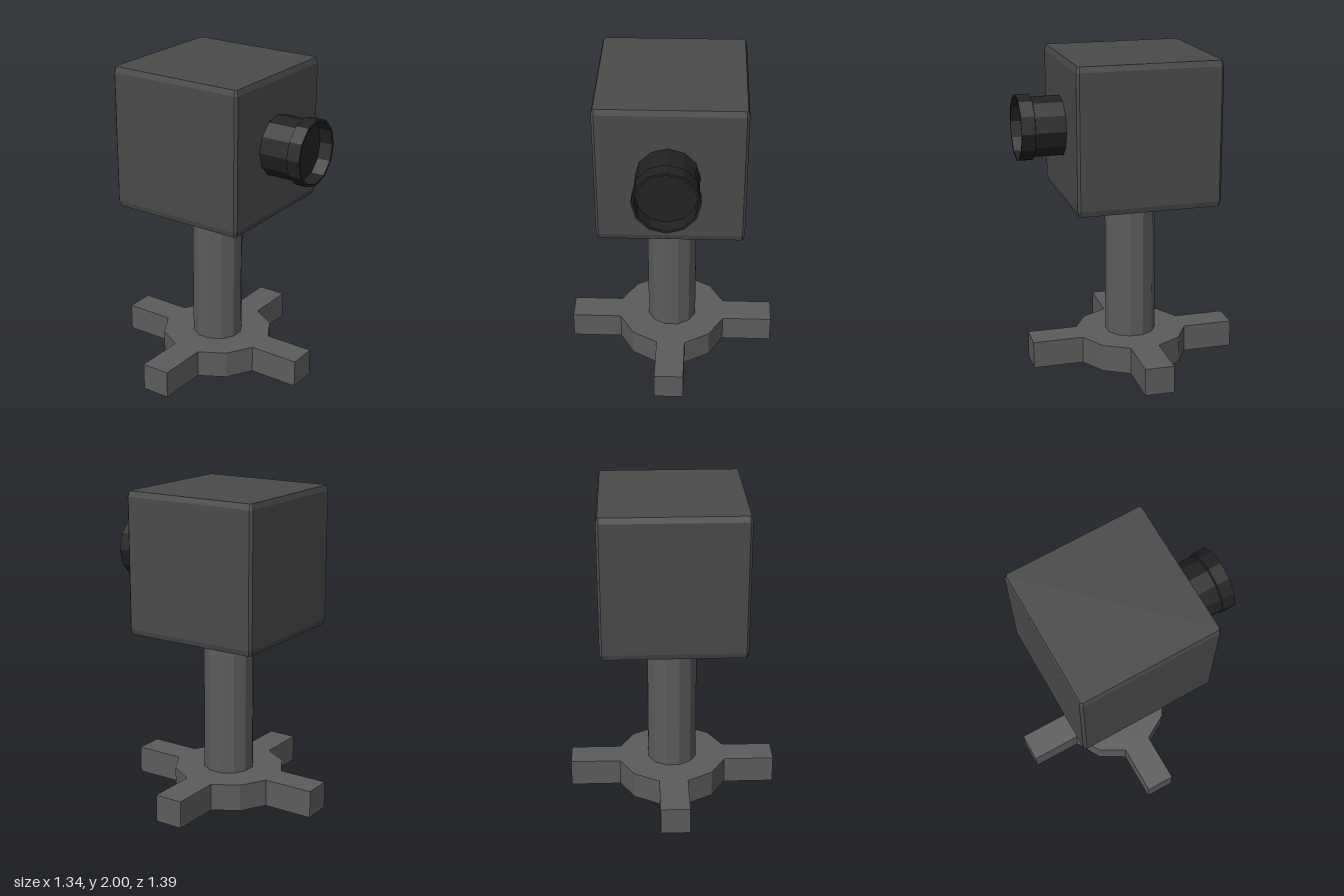
import * as THREE from 'three';

const SIDES = 12;
const STEP = (Math.PI * 2) / SIDES;

function part(name, geometry, color) {
  const material = new THREE.MeshStandardMaterial({ color, flatShading: true });
  const mesh = new THREE.Mesh(geometry, material);
  mesh.name = name;
  return mesh;
}

// Twelve-sided hub with every third side drawn out into an arm
function baseShape(radius, reach) {
  const points = [];
  const half = radius * Math.sin(STEP / 2);
  for (let i = 0; i < 4; i++) {
    const a = (i * Math.PI) / 2;
    const turn = (x, y) => points.push(new THREE.Vector2(
      x * Math.cos(a) - y * Math.sin(a), x * Math.sin(a) + y * Math.cos(a)));
    const root = radius * Math.cos(STEP / 2);
    turn(root, -half);
    turn(reach, -half);
    turn(reach, half);
    turn(root, half);
    turn(radius * Math.cos(STEP * 1.5), radius * Math.sin(STEP * 1.5));
  }
  return new THREE.Shape(points);
}

// Square with small cut corners
function cutSquare(h, c) {
  const corners = [[h, c - h], [h, h - c], [h - c, h], [c - h, h],
    [-h, h - c], [-h, c - h], [c - h, -h], [h - c, -h]];
  return new THREE.Shape(corners.map(([x, y]) => new THREE.Vector2(x, y)));
}

export function createModel() {
  const model = new THREE.Group();
  model.name = 'boxOnStand';

  // Four-armed foot
  const foot = part('foot', new THREE.ExtrudeGeometry(baseShape(0.357, 0.668),
    { depth: 0.175, bevelEnabled: false }).rotateX(-Math.PI / 2), 0x5c5c5c);
  foot.position.set(-0.002, 0, -0.03);
  foot.rotation.y = -0.005;

  // Post
  const post = part('post', new THREE.CylinderGeometry(0.162, 0.162, 0.96, SIDES)
    .rotateY(STEP / 2), 0x5c5c5c);
  post.position.set(-0.002, 0.64, -0.027);

  // Box head with shallow bevels along top and bottom
  const head = part('head', new THREE.ExtrudeGeometry(cutSquare(0.44, 0.01), {
    depth: 0.83, bevelThickness: 0.035, bevelSize: 0.01, bevelSegments: 1,
  }).rotateX(-Math.PI / 2), 0x4a4a4a);
  head.position.set(0, 1.135, -0.03);

  // Lens barrel and its hollow rim
  const lens = new THREE.Group();
  lens.name = 'lens';
  lens.position.set(-0.015, 1.562, 0);
  const barrel = part('lensBarrel', new THREE.CylinderGeometry(0.19, 0.19, 0.21, SIDES)
    .rotateX(Math.PI / 2), 0x222222);
  barrel.position.z = 0.505;
  const rimProfile = [[0.185, 0.605], [0.2, 0.61], [0.2, 0.695], [0.185, 0.695], [0.185, 0.605]]
    .map(([r, z]) => new THREE.Vector2(r, z));
  const rim = part('lensRim', new THREE.LatheGeometry(rimProfile, SIDES)
    .rotateX(Math.PI / 2), 0x222222);
  rim.scale.y = 1.04;
  lens.add(barrel, rim);

  model.add(foot, post, head, lens);
  return model;
}
